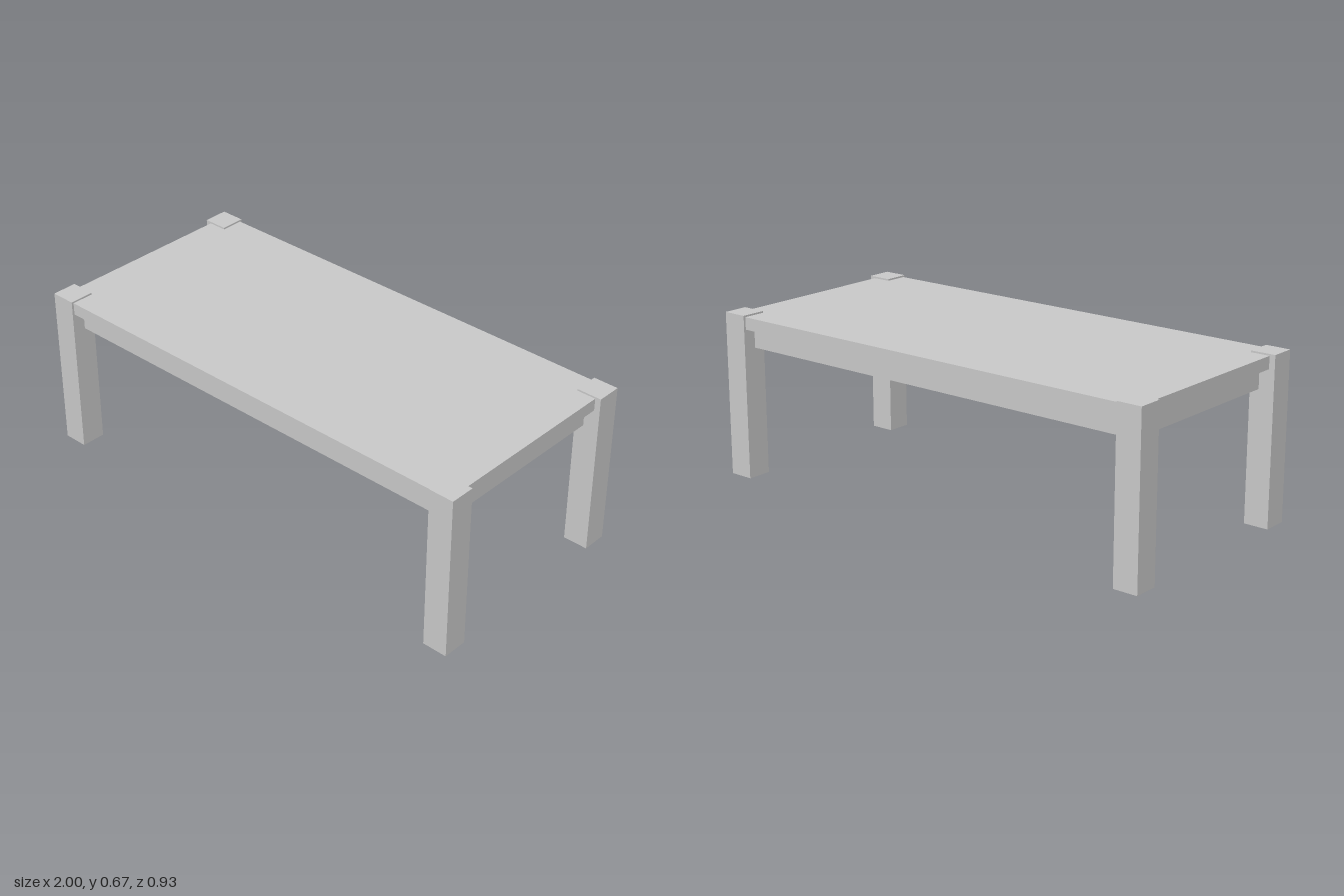
import * as THREE from 'three';

const material = new THREE.MeshStandardMaterial({ color: 0xcccccc });

// Box given by its centre in plan, its bottom and top heights, and its plan size
function slab(name, x, z, bottom, top, width, depth) {
  const mesh = new THREE.Mesh(new THREE.BoxGeometry(width, top - bottom, depth), material);
  mesh.name = name;
  mesh.position.set(x, (bottom + top) / 2, z);
  return mesh;
}

export function createModel() {
  const table = new THREE.Group();
  table.name = 'coffeeTable';

  // Tabletop and the inset solid apron under it
  table.add(slab('tabletop', 0, 0, 0.612, 0.662, 1.952, 0.91));
  table.add(slab('apron', 0, 0, 0.53, 0.612, 1.872, 0.82));

  // Square corner legs, rising slightly above the tabletop
  for (const [side, sx] of [['Left', 1], ['Right', -1]]) {
    for (const [end, sz] of [['front', 1], ['back', -1]]) {
      table.add(slab(`${end}${side}Leg`, sx * 0.949, sz * 0.413, 0, 0.669, 0.102, 0.102));
    }
  }
  return table;
}
